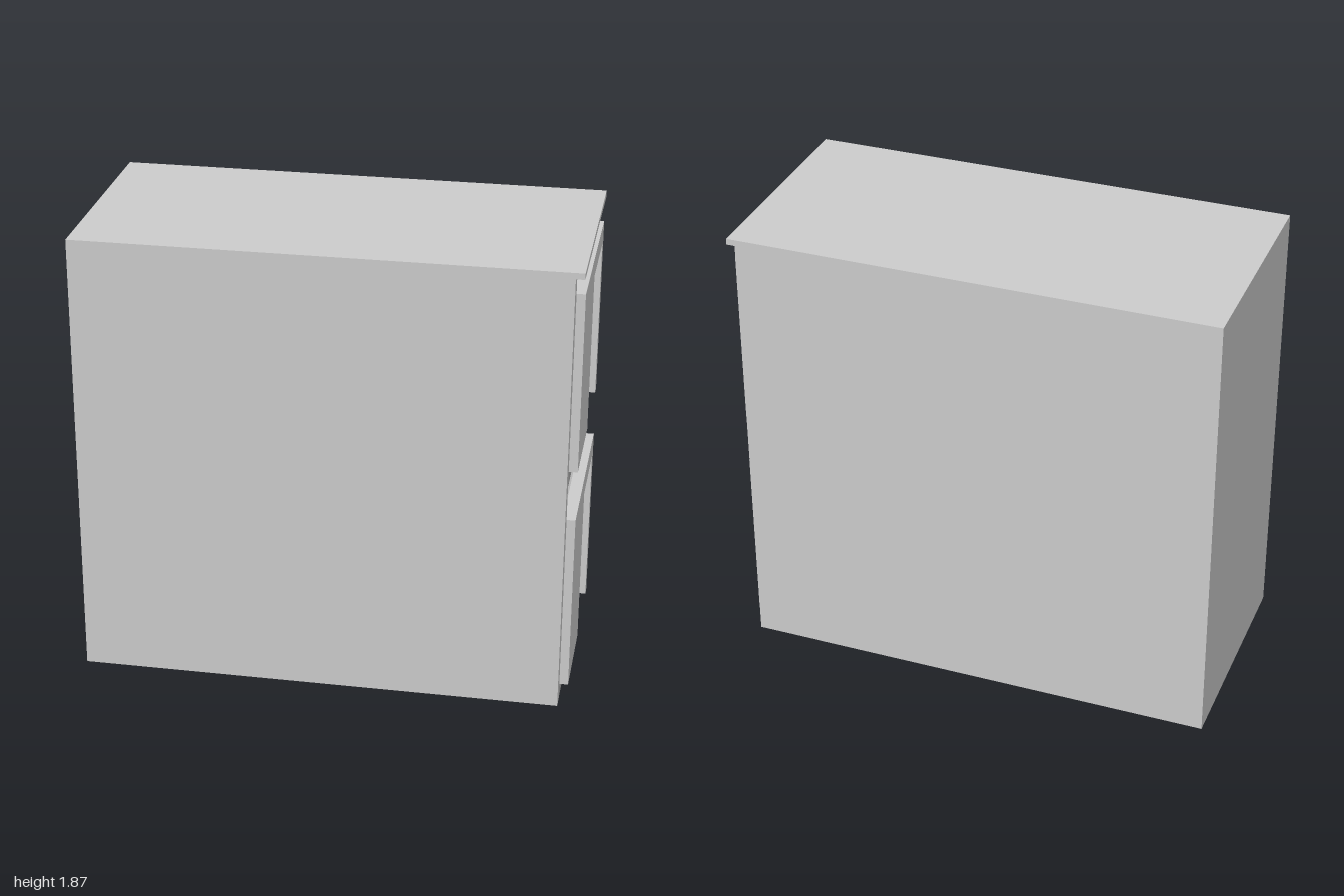
import * as THREE from 'three';

const wallMat = new THREE.MeshStandardMaterial({ color: 0xcccccc });
const slabMat = new THREE.MeshStandardMaterial({ color: 0xadadad });
const glassMat = new THREE.MeshStandardMaterial({ color: 0x88979a });

// Box given by its extents on each axis
function block(parent, name, [x0, x1], [y0, y1], [z0, z1], mat = wallMat) {
  const mesh = new THREE.Mesh(new THREE.BoxGeometry(x1 - x0, y1 - y0, z1 - z0), mat);
  mesh.position.set((x0 + x1) / 2, (y0 + y1) / 2, (z0 + z1) / 2);
  mesh.name = name;
  parent.add(mesh);
}

// Shape in (x, y) extruded along z
function extrude(shape, depth) {
  return new THREE.ExtrudeGeometry(shape, { depth, bevelEnabled: false });
}

// Stair flight: stepped top, sloping soffit, climbing from startX by run (signed)
function flight(name, startX, baseY, run, z0, width) {
  const steps = 9, slab = 0.065, rise = 0.4775;
  const points = [[startX, baseY]];
  for (let i = 0; i < steps; i++) {
    const y = baseY + slab + (rise * (i + 1)) / steps;
    points.push([startX + (run * i) / steps, y], [startX + (run * (i + 1)) / steps, y]);
  }
  points.push([startX + run, baseY + rise]);
  const shape = new THREE.Shape(points.map(([x, y]) => new THREE.Vector2(x, y)));
  const mesh = new THREE.Mesh(extrude(shape, width), slabMat);
  mesh.position.z = z0;
  mesh.name = name;
  return mesh;
}

// End wall panel with a doorway and its glazed door
function storeyFront(name, y0, y1, doorTop) {
  const group = new THREE.Group();
  group.name = name;
  // Drawn with shape x = -z, then turned to face +x; the doorway is open at the floor
  const outline = [[-0.41, y0], [0, y0], [0, doorTop], [0.365, doorTop], [0.365, y0],
    [0.41, y0], [0.41, y1], [-0.41, y1]];
  const shape = new THREE.Shape(outline.map(([x, y]) => new THREE.Vector2(x, y)));
  const panel = new THREE.Mesh(extrude(shape, 0.05), wallMat);
  panel.rotation.y = Math.PI / 2;
  panel.position.x = 0.95;
  panel.name = 'doorwayPanel';
  group.add(panel);
  block(group, 'glassDoor', [0.945, 0.955], [y0, doorTop - 0.008], [-0.357, -0.005], glassMat);
  return group;
}

// Round bar between two points
function bar(parent, name, from, to, radius = 0.008) {
  const curve = new THREE.LineCurve3(new THREE.Vector3(...from), new THREE.Vector3(...to));
  const length = curve.getLength();
  const mesh = new THREE.Mesh(new THREE.CylinderGeometry(radius, radius, length, 12), wallMat);
  mesh.position.copy(curve.getPoint(0.5));
  mesh.quaternion.setFromUnitVectors(new THREE.Vector3(0, 1, 0), curve.getTangent(0));
  mesh.name = name;
  parent.add(mesh);
}

export function createModel() {
  const model = new THREE.Group();
  model.name = 'stairBuilding';

  // Shell: two long walls, closed end wall and flat roof
  block(model, 'longWallFront', [-1, 0.965], [0, 1.845], [0.412, 0.475]);
  block(model, 'longWallBack', [-1, 0.965], [0, 1.845], [-0.475, -0.412]);
  block(model, 'endWall', [-1, -0.94], [0, 1.845], [-0.412, 0.412]);
  block(model, 'roof', [-1, 1], [1.845, 1.87], [-0.475, 0.475]);

  // Floors near the doors and the half landing at the far end
  block(model, 'groundFloor', [0.41, 0.965], [0, 0.065], [-0.412, 0.412], slabMat);
  block(model, 'upperFloor', [0.41, 0.965], [0.955, 1.02], [-0.412, 0.412], slabMat);
  block(model, 'halfLanding', [-0.94, -0.28], [0.4775, 0.5425], [-0.412, 0.412], slabMat);

  // Two flights that turn back at the landing
  model.add(flight('lowerFlight', 0.41, 0, -0.69, -0.412, 0.364));
  model.add(flight('upperFlight', -0.28, 0.4775, 0.69, 0.043, 0.369));

  // Handrails beside the lower flight
  for (const z of [-0.055, -0.393]) {
    bar(model, 'handrail', [0.41, 0.37, z], [-0.28, 0.843, z]);
    bar(model, 'railPost', [0.41, 0.065, z], [0.41, 0.37, z]);
    bar(model, 'railPost', [-0.28, 0.54, z], [-0.28, 0.843, z]);
  }
  bar(model, 'wallRail', [0.66, 0.82, -0.393], [0.86, 0.82, -0.393]);

  // Door fronts, open above each panel
  model.add(storeyFront('lowerFront', 0.065, 0.81, 0.728));
  model.add(storeyFront('upperFront', 1.02, 1.762, 1.68));

  return model;
}
